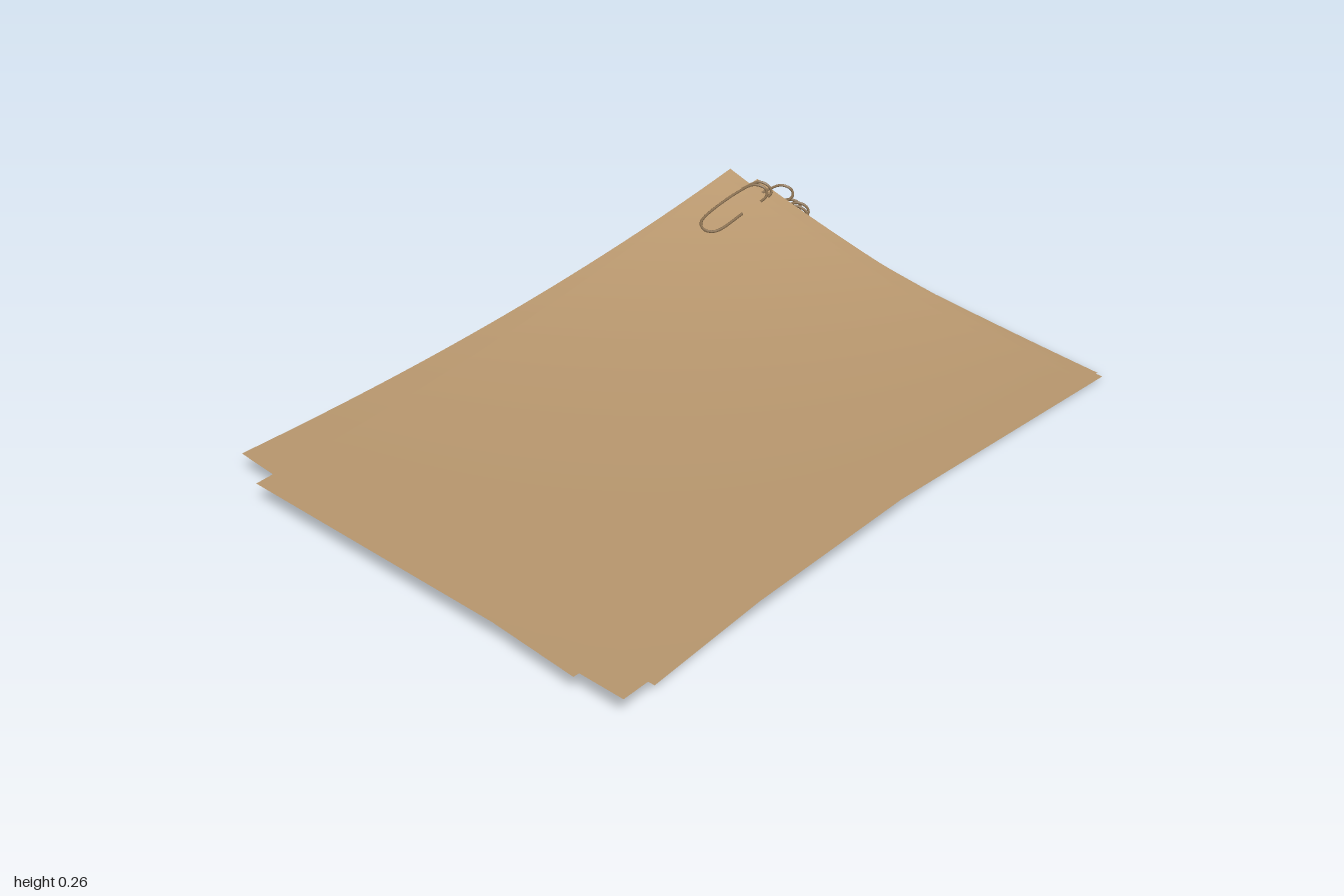
import * as THREE from 'three';

const W = 1.24, L = 1.76; // sheet width and length

const paper = new THREE.MeshStandardMaterial({ color: 0xb8976e, side: THREE.DoubleSide });
const wire = new THREE.MeshStandardMaterial({ color: 0x8a7050 });

// Point on a sheet whose back left corner curls up; a and b run from that corner.
function sheetPoint(a, b, curl) {
  const u = THREE.MathUtils.clamp(a / W, 0, 1);
  const v = THREE.MathUtils.clamp(b / L, 0, 1);
  const h = curl * Math.pow(1 - u, 1.8) * Math.pow(1 - v, 2.2);
  return new THREE.Vector3(a - W / 2 + 0.12 * h, h, b - L / 2 + 0.06 * h);
}

function makeSheet(curl) {
  const geo = new THREE.PlaneGeometry(W, L, 20, 28).rotateX(-Math.PI / 2);
  const pos = geo.attributes.position;
  for (let i = 0; i < pos.count; i++) {
    const p = sheetPoint(pos.getX(i) + W / 2, pos.getZ(i) + L / 2, curl);
    pos.setXYZ(i, p.x, p.y, p.z);
  }
  geo.computeVertexNormals();
  const mesh = new THREE.Mesh(geo, paper);
  mesh.name = 'paperSheet';
  return mesh;
}

// Bent wire: long loop above the sheet, short loop below it, joined over the back edge.
function makeClip(curl, across, overhang) {
  const path = [
    [0.034, 0.08, 1], [0.032, 0.17, 1], [0.022, 0.195, 1], [0, 0.205, 1],
    [-0.022, 0.195, 1], [-0.034, 0.17, 1], [-0.032, 0.02, 1],
    [-0.024, -overhang * 0.7, 0.7], [0, -overhang, 0], [0.022, -overhang * 0.7, -0.7],
    [0.028, 0.02, -1], [0.024, 0.1, -1], [0, 0.13, -1], [-0.022, 0.1, -1], [-0.022, 0.03, -1],
  ];
  const points = path.map(([a, b, side]) => {
    const p = sheetPoint(across + a, b, curl);
    p.y += side * 0.006;
    return p;
  });
  const curve = new THREE.CatmullRomCurve3(points);
  const mesh = new THREE.Mesh(new THREE.TubeGeometry(curve, 70, 0.004, 6), wire);
  mesh.name = 'paperClip';
  return mesh;
}

export function createModel() {
  const model = new THREE.Group();
  model.name = 'paperStack';

  // Sheets from bottom to top: x, z, turn, height, curl, clip distance from left edge, clip overhang
  const sheets = [
    [-0.015, -0.11, 0, 0.01, 0, 0.09, 0.008],
    [-0.02, -0.015, 0.125, 0.022, 0.03, 0.06, 0.03],
    [-0.01, -0.085, 0.01, 0.029, 0.035, 0.07, 0.03],
    [-0.04, -0.06, 0, 0.036, 0.065, 0.06, 0.03],
    [0, -0.05, 0.004, 0.043, 0.09, 0.1, 0.05],
    [0.005, -0.03, -0.005, 0.05, 0.11, 0.14, 0.04],
    [-0.005, -0.005, 0.006, 0.057, 0.13, 0.19, 0.03],
    [0.02, 0.005, 0, 0.063, 0.15, 0.09, 0.05],
    [-0.03, 0.055, 0.01, 0.069, 0.178, 0.12, 0.04],
    [0.055, 0.075, 0.074, 0.076, 0.182, 0.11, 0.06],
  ];
  sheets.forEach(([x, z, turn, y, curl, across, overhang]) => {
    const page = new THREE.Group();
    page.name = 'clippedPage';
    page.position.set(x, y, z);
    page.rotation.y = turn;
    page.add(makeSheet(curl), makeClip(curl, across, overhang));
    model.add(page);
  });
  return model;
}
